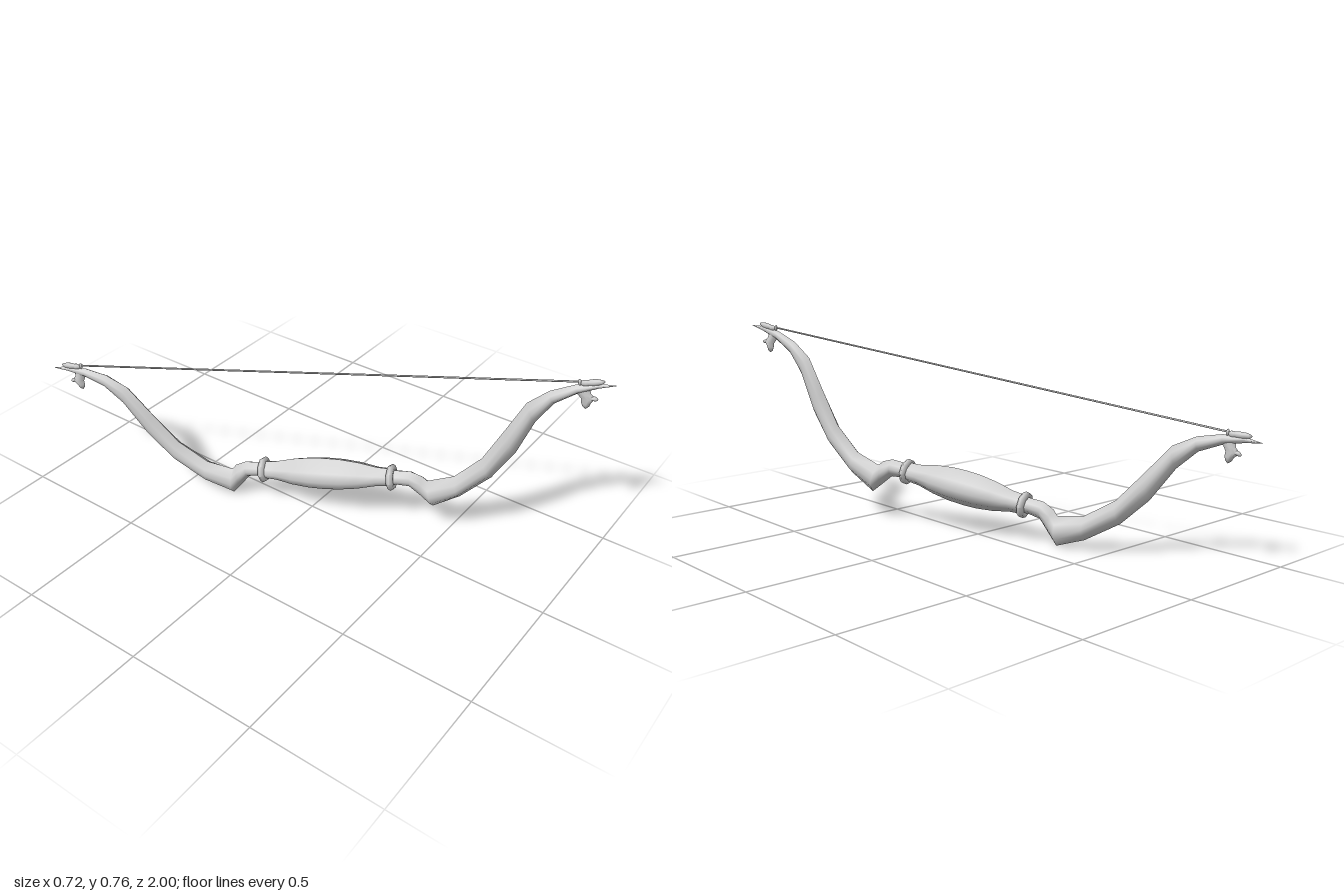
import * as THREE from 'three';
import { toCreasedNormals } from 'three/addons/utils/BufferGeometryUtils.js';

const material = new THREE.MeshStandardMaterial({ color: 0xcccccc });

// Lens-like cross-section, ridged above and below: [along height, along width]
const SECTION = [[1, 0], [0.5, 0.8], [0, 1], [-0.5, 0.8], [-1, 0], [-0.5, -0.8], [0, -1], [0.5, -0.8]];

// Skin through sections given as [outerX, outerY, innerX, innerY, halfWidth]
function loft(sections) {
  const pos = [], index = [], n = SECTION.length;
  for (const [ox, oy, ix, iy, w] of sections) {
    for (const [h, s] of SECTION) {
      pos.push((ox + ix) / 2 + h * (ix - ox) / 2, (oy + iy) / 2 + h * (iy - oy) / 2, s * w);
    }
  }
  for (let i = 0; i < sections.length - 1; i++) {
    for (let j = 0; j < n; j++) {
      const a = i * n + j, b = i * n + (j + 1) % n;
      index.push(a, b, a + n, b, b + n, a + n);
    }
  }
  const geo = new THREE.BufferGeometry();
  geo.setAttribute('position', new THREE.Float32BufferAttribute(pos, 3));
  geo.setIndex(index);
  return toCreasedNormals(geo, 0.95);
}

function add(parent, name, geo) {
  const mesh = new THREE.Mesh(geo, material);
  mesh.name = name;
  parent.add(mesh);
  return mesh;
}

// Small rounded lump
function lump(parent, name, x, y, rx, ry, rz, tilt = 0) {
  const mesh = add(parent, name, new THREE.SphereGeometry(1, 8, 6));
  mesh.position.set(x, y, 0);
  mesh.scale.set(rx, ry, rz);
  mesh.rotation.z = tilt;
}

// One half of the bow, reaching along +x
function buildHalf(name) {
  const half = new THREE.Group();
  half.name = name;

  // Limb: neck, knee, sweeping arm, pointed tip
  add(half, 'limb', loft([
    [0.22, -0.036, 0.22, 0.036, 0.036],
    [0.28, -0.030, 0.28, 0.032, 0.030],
    [0.325, -0.036, 0.33, 0.032, 0.029],
    [0.365, -0.078, 0.372, 0.014, 0.033],
    [0.405, -0.119, 0.392, -0.006, 0.037],
    [0.510, -0.067, 0.495, 0.022, 0.038],
    [0.632, 0.028, 0.602, 0.109, 0.035],
    [0.724, 0.142, 0.688, 0.232, 0.031],
    [0.797, 0.276, 0.770, 0.352, 0.027],
    [0.862, 0.353, 0.848, 0.403, 0.022],
    [0.940, 0.396, 0.934, 0.431, 0.016],
    [1.010, 0.418, 1.007, 0.438, 0.010],
    [1.072, 0.431, 1.072, 0.431, 0],
  ]));

  // Octagonal collar where the grip meets the limb
  const ring = add(half, 'collarRing', toCreasedNormals(new THREE.TorusGeometry(0.038, 0.014, 6, 8), 1.1));
  ring.position.x = 0.256;
  ring.rotation.y = Math.PI / 2;

  // Curled hook under the tip
  add(half, 'tipHook', loft([
    [0.925, 0.412, 0.980, 0.425, 0.010],
    [0.942, 0.392, 0.985, 0.396, 0.011],
    [0.952, 0.376, 1.000, 0.378, 0.013],
    [0.952, 0.360, 0.984, 0.360, 0.014],
    [0.956, 0.346, 0.978, 0.346, 0.010],
    [0.966, 0.337, 0.967, 0.337, 0],
  ]));
  lump(half, 'hookBarb', 0.993, 0.378, 0.016, 0.008, 0.009, -0.3);

  // Nock on top of the tip, with the string knot
  lump(half, 'nock', 0.995, 0.441, 0.037, 0.012, 0.010, 0.1);
  lump(half, 'nockNeck', 0.968, 0.438, 0.020, 0.012, 0.009);
  lump(half, 'stringKnot', 0.948, 0.441, 0.006, 0.012, 0.007);
  return half;
}

export function createModel() {
  const model = new THREE.Group();
  model.name = 'bow';

  // Turn about the vertical, then tilt in the bow's own plane
  const turned = new THREE.Group();
  turned.name = 'turnedBow';
  turned.rotation.y = -1.226;
  model.add(turned);
  const bow = new THREE.Group();
  bow.name = 'tiltedBow';
  bow.position.set(0.058, 0.175, 0);
  bow.rotation.z = 0.1396;
  turned.add(bow);

  // Swelling grip
  const grip = [[-0.25, 0.038], [-0.2, 0.042], [-0.13, 0.058], [-0.06, 0.067], [0, 0.069],
    [0.06, 0.067], [0.13, 0.058], [0.2, 0.042], [0.25, 0.038]];
  add(bow, 'grip', loft(grip.map(([x, r]) => [x, -r, x, r, r])));

  // Mirrored halves
  bow.add(buildHalf('upperHalf'));
  const lower = buildHalf('lowerHalf');
  lower.rotation.y = Math.PI;
  bow.add(lower);

  // Taut string
  const string = add(bow, 'bowString', new THREE.CylinderGeometry(0.0035, 0.0035, 1.91, 6));
  string.rotation.z = Math.PI / 2;
  string.position.y = 0.443;

  return model;
}
